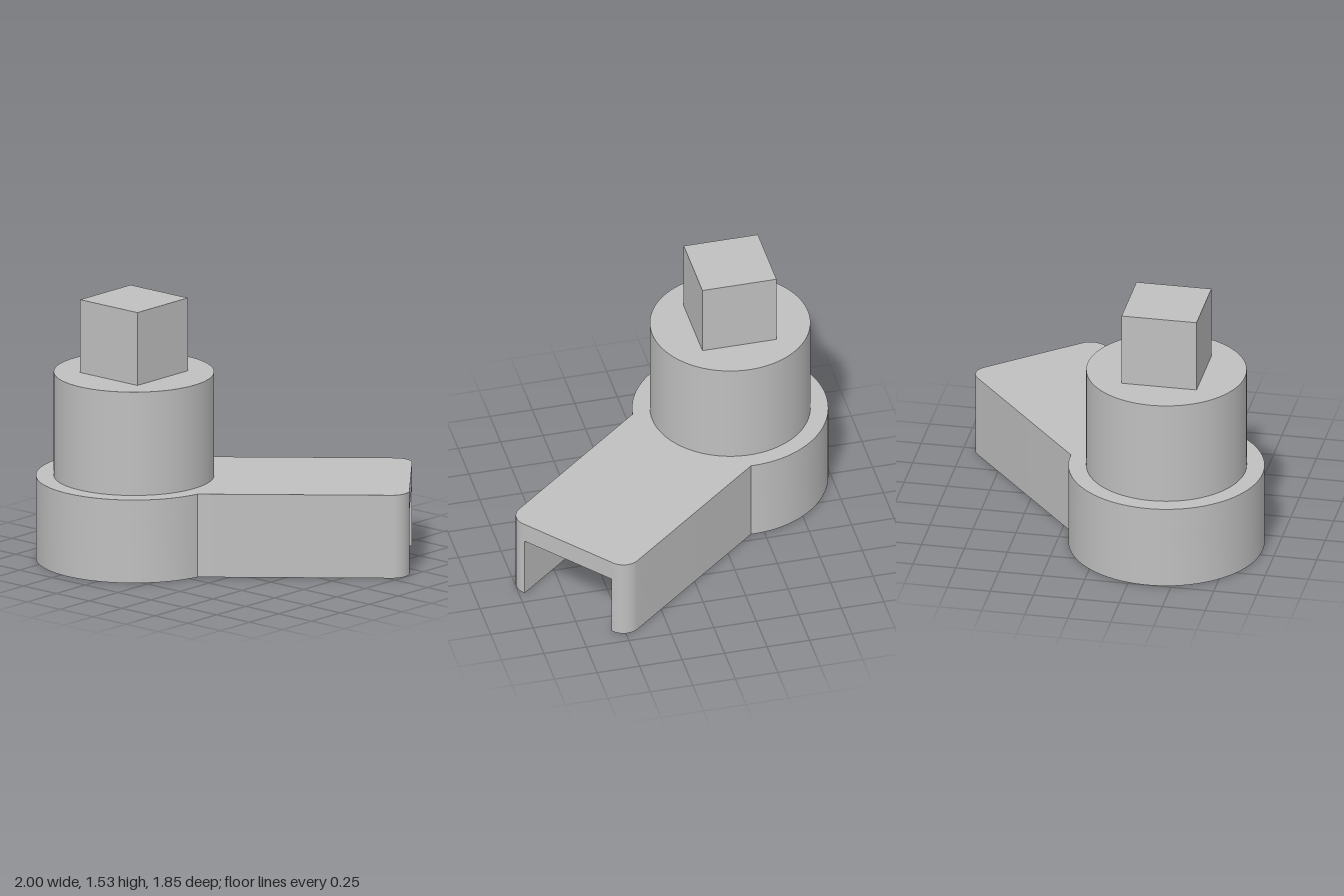
import * as THREE from 'three';
import { toCreasedNormals } from 'three/addons/utils/BufferGeometryUtils.js';

const HUB_R = 0.56, POCKET_R = 0.42;      // round hub, outside and inside
const ARM_HALF = 0.417, SLOT_HALF = 0.305; // half widths of arm and its channel
const ARM_END = 1.58, CORNER = 0.1;
const BASE_H = 0.49, ROOF_Y = 0.37;

// Hub and arm outline, arm along +x; hollow = open pocket and channel
function outline(hollow) {
  const c = ARM_END - CORNER, k = ARM_HALF - CORNER;
  const a = Math.asin(ARM_HALF / HUB_R);
  const s = new THREE.Shape();
  s.moveTo(ARM_END, k);
  s.absarc(c, k, CORNER, 0, Math.PI / 2, false);
  s.absarc(0, 0, HUB_R, a, Math.PI * 2 - a, false);
  s.lineTo(c, -ARM_HALF);
  s.absarc(c, -k, CORNER, -Math.PI / 2, 0, false);
  if (hollow) {
    const b = Math.asin(SLOT_HALF / POCKET_R);
    s.lineTo(ARM_END, -SLOT_HALF);
    s.absarc(0, 0, POCKET_R, Math.PI * 2 - b, b, true);
    s.lineTo(ARM_END, SLOT_HALF);
  }
  s.closePath();
  return s;
}

function slab(shape, y0, y1) {
  const g = new THREE.ExtrudeGeometry(shape, { depth: y1 - y0, bevelEnabled: false, curveSegments: 48 });
  g.rotateX(-Math.PI / 2).translate(0, y0, 0);
  return toCreasedNormals(g, 0.5);
}

export function createModel() {
  const model = new THREE.Group();
  model.name = 'crankHandle';
  const grey = new THREE.MeshStandardMaterial({ color: 0xbfbfbf });
  grey.name = 'grey';

  const add = (parent, name, geometry, y = 0) => {
    const m = new THREE.Mesh(geometry, grey);
    m.name = name;
    m.position.y = y;
    parent.add(m);
  };

  // Everything is placed around the hub axis
  const hub = new THREE.Group();
  hub.name = 'hub';
  hub.position.set(-0.44, 0, 0.364);
  model.add(hub);

  // Angled base: side walls open underneath and at the arm's end, plus a roof
  const base = new THREE.Group();
  base.name = 'base';
  base.rotation.y = THREE.MathUtils.degToRad(40);
  hub.add(base);
  add(base, 'baseWalls', slab(outline(true), 0, ROOF_Y));
  add(base, 'baseRoof', slab(outline(false), ROOF_Y, BASE_H));

  // Round post and square drive on top
  add(hub, 'post', new THREE.CylinderGeometry(0.458, 0.458, 0.61, 96), BASE_H + 0.305);
  add(hub, 'squareDrive', new THREE.BoxGeometry(0.436, 0.43, 0.436), 1.1 + 0.215);

  return model;
}
